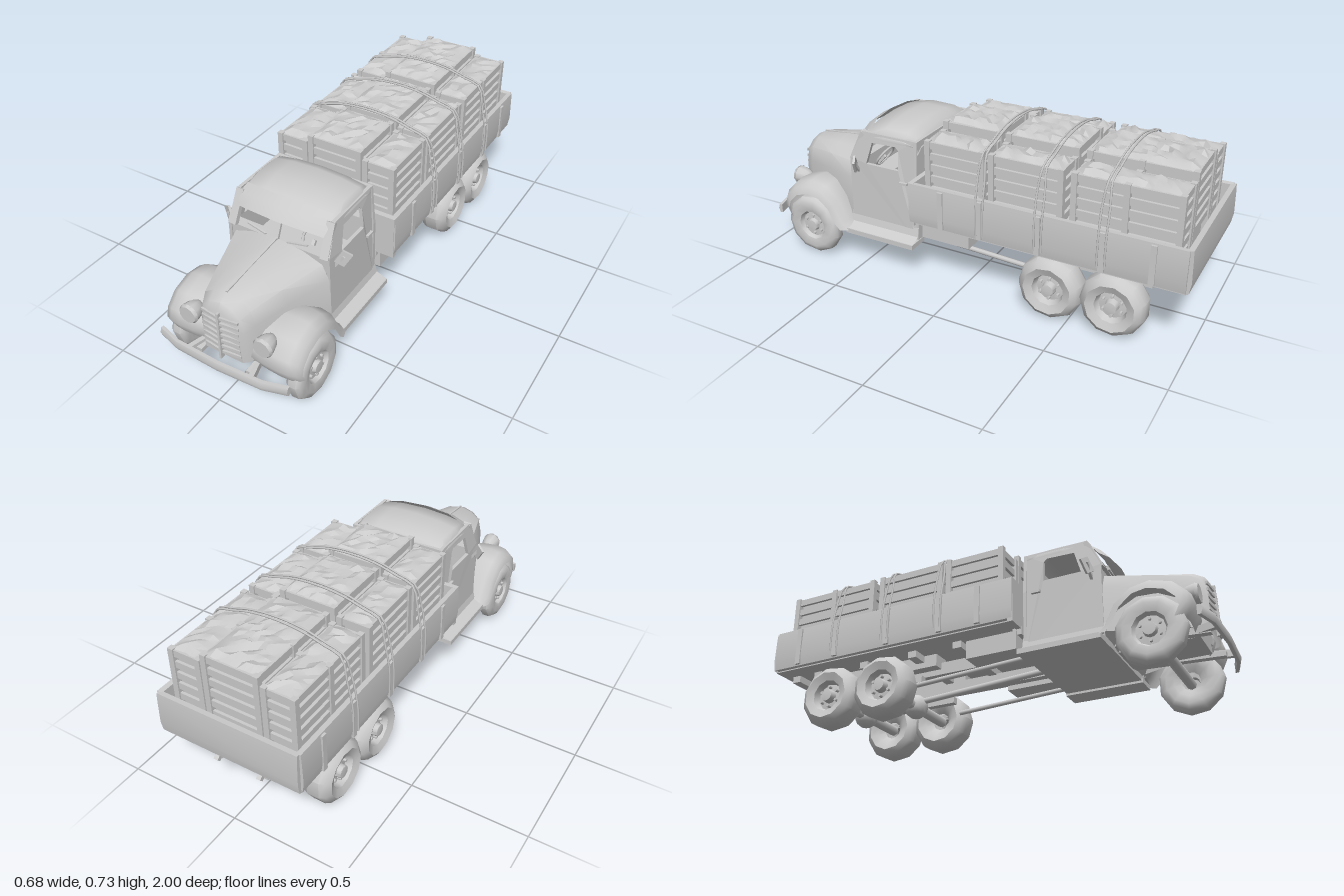
import * as THREE from 'three';
import { toCreasedNormals } from 'three/addons/utils/BufferGeometryUtils.js';

const mat = new THREE.MeshStandardMaterial({ color: 0xcccccc, side: THREE.DoubleSide });
const V = (x, y, z) => new THREE.Vector3(x, y, z);
let seed = 7;
const rnd = () => (seed = (seed * 16807) % 2147483647) / 2147483647;

export function createModel() {
  const root = new THREE.Group();
  const add = (name, geo, parent = root) => {
    const m = new THREE.Mesh(geo, mat);
    m.name = name;
    parent.add(m);
    return m;
  };
  const group = (name) => {
    const g = new THREE.Group();
    g.name = name;
    root.add(g);
    return g;
  };
  // Box given by its limits
  const box = (name, x0, x1, y0, y1, z0, z1, parent) => {
    const m = add(name, new THREE.BoxGeometry(Math.abs(x1 - x0), y1 - y0, Math.abs(z1 - z0)), parent);
    m.position.set((x0 + x1) / 2, (y0 + y1) / 2, (z0 + z1) / 2);
    return m;
  };
  // Square bar between two points
  const beam = (name, a, b, w, h, parent) => {
    const m = add(name, new THREE.BoxGeometry(w, h, a.distanceTo(b)), parent);
    m.position.copy(a).lerp(b, 0.5);
    m.lookAt(b);
    return m;
  };
  // Surface through cross-sections with equal point counts
  const loft = (sections, cap = false, crease = 0.7) => {
    const n = sections[0].length, pos = sections.flat(2), idx = [];
    for (let i = 0; i < sections.length - 1; i++)
      for (let j = 0; j < n - 1; j++) {
        const a = i * n + j, b = a + n;
        idx.push(a, b, a + 1, b, b + 1, a + 1);
      }
    if (cap) {
      const e = (sections.length - 1) * n;
      for (let j = 1; j < n - 1; j++) idx.push(0, j, j + 1, e, e + j + 1, e + j);
    }
    const g = new THREE.BufferGeometry();
    g.setAttribute('position', new THREE.Float32BufferAttribute(pos, 3));
    g.setIndex(idx);
    return toCreasedNormals(g, crease);
  };
  const mirrorArch = (half) => [...half.map(([x, y, z]) => [-x, y, z]).reverse(), ...half.slice(1)];
  const poly = (pts) => new THREE.Shape(pts.map(([x, y]) => new THREE.Vector2(x, y)));

  // Bonnet, tapering to the nose
  add('bonnet', loft([[0.57, 0.235, 0.505], [0.75, 0.17, 0.492], [0.89, 0.12, 0.475], [0.93, 0.1, 0.455], [0.945, 0.085, 0.425]]
    .map(([z, w, t]) => mirrorArch([[0, t, z], [w * 0.5, t - 0.014, z], [w * 0.87, t - 0.045, z], [w, t - 0.11, z], [w * 1.03, 0.2, z - 0.005]])), true));
  const grille = group('grille');
  beam('grilleRidge', V(0, 0.2, 0.955), V(0, 0.42, 0.948), 0.01, 0.02, grille);
  for (const s of [-1, 1])
    for (let i = 0; i < 7; i++)
      beam('grilleBar', V(0.005 * s, 0.23 + i * 0.028, 0.952), V(0.083 * s, 0.23 + i * 0.028, 0.942), 0.008, 0.012, grille);
  beam('bonnetSeam', V(0, 0.508, 0.57), V(0, 0.478, 0.89), 0.008, 0.006);

  // Cab walls lean in above the waist
  const cab = group('cab');
  const wid = (y) => 0.243 - Math.max(0, y - 0.45) * 0.1;
  for (const s of [-1, 1]) {
    const side = poly([[0.57, 0.165], [0.57, 0.5], [0.505, 0.63], [0.235, 0.63], [0.235, 0.155]]);
    side.holes.push(poly([[0.485, 0.485], [0.455, 0.585], [0.335, 0.59], [0.32, 0.575], [0.32, 0.485]]));
    const g = new THREE.ExtrudeGeometry(side, { depth: 0.015, bevelEnabled: false });
    const p = g.attributes.position;
    for (let i = 0; i < p.count; i++) {
      const z = p.getX(i), y = p.getY(i), d = p.getZ(i);
      p.setXYZ(i, s * (wid(y) - d), y, z);
    }
    // mirrored winding needs swapping on the left
    if (s > 0) for (let i = 0; i < p.count; i += 3) {
      const a = V().fromBufferAttribute(p, i), b = V().fromBufferAttribute(p, i + 1);
      p.setXYZ(i, b.x, b.y, b.z);
      p.setXYZ(i + 1, a.x, a.y, a.z);
    }
    g.computeVertexNormals();
    add('door', g, cab);
    beam('windscreenPillar', V(0.215 * s, 0.49, 0.568), V(0.21 * s, 0.625, 0.505), 0.035, 0.02, cab);
    box('doorHandle', 0.243 * s, 0.255 * s, 0.43, 0.44, 0.27, 0.31, cab);
    beam('mirrorArm', V(0.22 * s, 0.42, 0.53), V(0.275 * s, 0.5, 0.525), 0.012, 0.012, cab);
    beam('mirror', V(0.255 * s, 0.46, 0.53), V(0.285 * s, 0.515, 0.515), 0.01, 0.045, cab);
    beam('wiper', V(0.05 * s, 0.51, 0.575), V(0.14 * s, 0.525, 0.568), 0.008, 0.006, cab);
  }
  const back = poly([[-0.24, 0.16], [0.24, 0.16], [0.24, 0.45], [0.226, 0.63], [-0.226, 0.63], [-0.24, 0.45]]);
  back.holes.push(poly([[-0.105, 0.535], [-0.105, 0.588], [0.105, 0.588], [0.105, 0.535]]));
  add('cabBack', new THREE.ExtrudeGeometry(back, { depth: 0.015, bevelEnabled: false }), cab).position.z = 0.228;
  add('roof', loft([[0.515, 0.618, 0.22], [0.49, 0.655, 0.225], [0.4, 0.671, 0.229], [0.29, 0.668, 0.229], [0.245, 0.652, 0.227], [0.226, 0.615, 0.225]]
    .map(([z, t, w]) => mirrorArch([[0, t, z], [w * 0.5, t - 0.006, z], [w * 0.86, t - 0.02, z], [w, Math.min(t - 0.045, 0.618), z], [w * 0.99, 0.595, z]])), false, 1));
  add('visor', loft([[0.495, 0.655, 0.2], [0.535, 0.632, 0.21], [0.57, 0.59, 0.2]]
    .map(([z, y, w]) => mirrorArch([[0, y + 0.004, z + 0.01], [w * 0.6, y, z], [w, y - 0.015, z - 0.02]]))), cab);
  beam('windscreenPost', V(0, 0.49, 0.575), V(0, 0.625, 0.515), 0.01, 0.012, cab);
  box('cabFloor', -0.235, 0.235, 0.16, 0.185, 0.235, 0.57, cab);
  box('dashboard', -0.225, 0.225, 0.42, 0.49, 0.52, 0.565, cab);
  box('seat', -0.21, 0.21, 0.28, 0.36, 0.26, 0.42, cab);
  box('seatBack', -0.21, 0.21, 0.35, 0.5, 0.25, 0.29, cab);
  const wheelRim = add('steeringWheel', new THREE.TorusGeometry(0.055, 0.006, 5, 14), cab);
  wheelRim.position.set(0.11, 0.475, 0.475);
  wheelRim.rotation.x = -0.6;
  beam('steeringColumn', V(0.11, 0.475, 0.475), V(0.11, 0.39, 0.55), 0.014, 0.014, cab);

  // Front wings, running boards, lamps
  const arch = [[0.9, 0.17], [0.93, 0.23], [0.915, 0.28], [0.86, 0.335], [0.77, 0.362], [0.69, 0.348], [0.62, 0.29], [0.575, 0.2], [0.54, 0.165]];
  const toC = (z, y, k) => [y + (0.145 - y) * k, z + (0.76 - z) * k];
  for (const s of [-1, 1]) {
    add('wing', loft(arch.map(([z, y]) =>
      [[0.09, 0.1], [0.17, 0.03], [0.23, 0], [0.275, 0.03], [0.305, 0.12], [0.316, 0.27]].map(([x, k]) => [x * s, ...toC(z, y, k)])), false, 1));
    box('runningBoard', 0.2 * s, 0.3 * s, 0.15, 0.172, 0.225, 0.575);
    add('sill', loft([0.575, 0.225].map((z) => [[0.235 * s, 0.25, z], [0.25 * s, 0.19, z], [0.3 * s, 0.17, z]])));
    const lamp = add('headlamp', new THREE.SphereGeometry(0.042, 10, 6, 0, Math.PI * 2, 0, Math.PI / 2));
    lamp.scale.y = 1.8;
    lamp.rotation.x = -Math.PI / 2;
    lamp.position.set(0.172 * s, 0.31, 0.925);
    const glass = add('headlampGlass', new THREE.CylinderGeometry(0.038, 0.044, 0.012, 10));
    glass.rotation.x = Math.PI / 2;
    glass.position.set(0.172 * s, 0.31, 0.927);
    beam('bumperBracket', V(0.12 * s, 0.18, 0.88), V(0.15 * s, 0.18, 0.985), 0.02, 0.03);
  }
  // Bumper with swept ends
  add('bumper', loft([[-0.3, 0.95], [-0.2, 0.978], [0, 0.987], [0.2, 0.978], [0.3, 0.95]]
    .map(([x, z]) => [[x, 0.2, z - 0.008], [x, 0.2, z + 0.006], [x, 0.18, z + 0.013], [x, 0.16, z + 0.006], [x, 0.16, z - 0.008], [x, 0.2, z - 0.008]]), true));

  // Wheels: faceted tyres with recessed hubs
  const wheel = (x, z, h) => {
    const s = Math.sign(x), g = group('wheel');
    const prof = [[0.04, -h * 0.4], [0.07, -h * 0.8], [0.105, -h], [0.128, -h * 0.75], [0.14, -h * 0.4], [0.14, h * 0.4], [0.128, h * 0.75], [0.105, h], [0.07, h * 0.8], [0.06, h * 0.35], [0.03, h * 0.4], [0.026, h * 0.85], [0, h * 0.9]];
    add('tyre', toCreasedNormals(new THREE.LatheGeometry(prof.map(([r, y]) => new THREE.Vector2(r, y)), 11), 0.7), g);
    for (let i = 0; i < 6; i++) {
      const a = i * Math.PI / 3;
      const lug = add('wheelNut', new THREE.CylinderGeometry(0.007, 0.007, h * 0.3, 6), g);
      lug.position.set(Math.cos(a) * 0.044, h * 0.5, Math.sin(a) * 0.044);
    }
    g.rotation.z = -s * Math.PI / 2;
    g.position.set(x, 0.141, z);
  };
  for (const s of [-1, 1]) {
    wheel(0.276 * s, 0.765, 0.04);
    for (const z of [-0.42, -0.69]) wheel(0.248 * s, z, 0.066);
  }

  // Chassis, axles and drive line
  const chassis = group('chassis');
  const rod = (name, a, b, r) => add(name, new THREE.TubeGeometry(new THREE.LineCurve3(a, b), 1, r, 8), chassis);
  for (const s of [-1, 1]) {
    box('frameRail', 0.09 * s, 0.125 * s, 0.215, 0.27, -0.93, 0.9, chassis);
    box('subframe', 0.09 * s, 0.17 * s, 0.24, 0.3, -0.88, -0.22, chassis);
    beam('rearSpring', V(0.14 * s, 0.2, -0.3), V(0.14 * s, 0.2, -0.81), 0.03, 0.03, chassis);
    beam('frontSpring', V(0.12 * s, 0.19, 0.55), V(0.12 * s, 0.17, 0.95), 0.03, 0.02, chassis);
    beam('tailHook', V(0.1 * s, 0.3, -0.86), V(0.1 * s, 0.22, -0.95), 0.02, 0.02, chassis);
    box('fuelTank', 0.14 * s, 0.25 * s, 0.2, 0.28, -0.03, 0.2, chassis);
    rod('exhaust', V(0.19 * s, 0.18, 0.23), V(0.19 * s, 0.155, -0.3), 0.011);
  }
  for (const z of [0.2, -0.08, -0.3, -0.55, -0.8, -0.92]) box('crossMember', -0.24, 0.24, 0.265, 0.3, z - 0.02, z + 0.02, chassis);
  rod('frontAxle', V(-0.26, 0.125, 0.765), V(0.26, 0.125, 0.765), 0.022);
  rod('driveShaft', V(0, 0.2, 0.3), V(0, 0.145, -0.69), 0.014);
  box('engineBlock', -0.09, 0.09, 0.17, 0.4, 0.45, 0.9, chassis);
  for (const z of [-0.42, -0.69]) {
    rod('rearAxle', V(-0.23, 0.141, z), V(0.23, 0.141, z), 0.024);
    add('differential', new THREE.SphereGeometry(0.055, 10, 7), chassis).position.set(0, 0.141, z);
  }

  // Cargo bed
  const bed = group('cargoBed');
  box('bedFloor', -0.31, 0.31, 0.295, 0.32, -0.98, 0.2, bed);
  const rimSection = (x, z, ox, oz) => [[0, 0.485], [1, 0.487], [1.1, 0.46], [1.25, 0.35], [0.9, 0.305], [0, 0.295], [0, 0.485]].map(([k, y]) => [x + ox * k, y, z + oz * k]);
  for (const s of [-1, 1])
    add('bedSide', loft([0.215, -0.2, -0.6, -0.98].map((z) => rimSection(0.3 * s, z, 0.022 * s, 0)), true), bed);
  add('tailgate', loft([-0.315, 0.315].map((x) => rimSection(x, -0.97, 0, -0.022)), true), bed);
  box('headboard', -0.32, 0.32, 0.29, 0.487, 0.195, 0.218, bed);
  for (const s of [-1, 1])
    for (const z of [0.06, -0.12, -0.38, -0.65, -0.85]) box('bedStake', 0.318 * s, 0.332 * s, 0.31, 0.48, z - 0.012, z + 0.012, bed);

  // Slatted crates heaped with lumpy goods
  const crate = (x0, x1, z0, z1, top) => {
    const g = group('crate'), t = 0.012;
    box('goods', x0 + t, x1 - t, 0.32, top - 0.012, z0 + t, z1 - t, g);
    for (const x of [x0, x1]) for (const z of [z0, z1]) box('cratePost', x - t, x + t, 0.32, top, z - t, z + t, g);
    if (z1 - z0 > 0.35) for (const x of [x0, x1]) box('cratePost', x - t, x + t, 0.32, top, (z0 + z1) / 2 - t, (z0 + z1) / 2 + t, g);
    for (let y = top - 0.02; y > 0.4; y -= 0.05) {
      for (const x of [x0, x1]) box('crateSlat', x - 0.006, x + 0.006, y - 0.015, y + 0.015, z0, z1, g);
      for (const z of [z0, z1]) box('crateSlat', x0, x1, y - 0.015, y + 0.015, z - 0.006, z + 0.006, g);
    }
    const nx = Math.round((x1 - x0) / 0.03), nz = Math.round((z1 - z0) / 0.03);
    const heap = new THREE.PlaneGeometry(x1 - x0, z1 - z0, nx, nz).rotateX(-Math.PI / 2), p = heap.attributes.position;
    for (let i = 0; i < p.count; i++) {
      const ix = i % (nx + 1), iz = Math.floor(i / (nx + 1));
      const edge = ix === 0 || iz === 0 || ix === nx || iz === nz;
      p.setXYZ(i, p.getX(i) + (edge ? 0 : (rnd() - 0.5) * 0.012), edge ? rnd() * 0.008 : 0.008 + rnd() * 0.018, p.getZ(i) + (edge ? 0 : (rnd() - 0.5) * 0.012));
    }
    heap.computeVertexNormals();
    add('heap', toCreasedNormals(heap, 0.4), g).position.set((x0 + x1) / 2, top - 0.008, (z0 + z1) / 2);
  };
  for (const [z0, z1] of [[-0.107, 0.145], [-0.45, -0.15], [-0.925, -0.505]]) {
    crate(-0.115, 0.115, z0, z1, 0.708);
    crate(0.145, 0.268, z0, z1, 0.675);
    crate(-0.268, -0.145, z0, z1, 0.675);
  }

  // Doubled ropes over the load
  for (const z of [-0.125, -0.385, -0.65])
    for (const d of [-0.008, 0.008]) {
      const half = [[0, 0.732], [0.12, 0.722], [0.2, 0.7], [0.283, 0.672], [0.31, 0.58], [0.333, 0.46], [0.335, 0.33]];
      const pts = mirrorArch(half.map(([x, y]) => [x, y, z + d + (x > 0.3 ? d : 0)])).map((q) => V(...q));
      add('rope', new THREE.TubeGeometry(new THREE.CatmullRomCurve3(pts), 36, 0.0045, 5));
    }
  return root;
}
